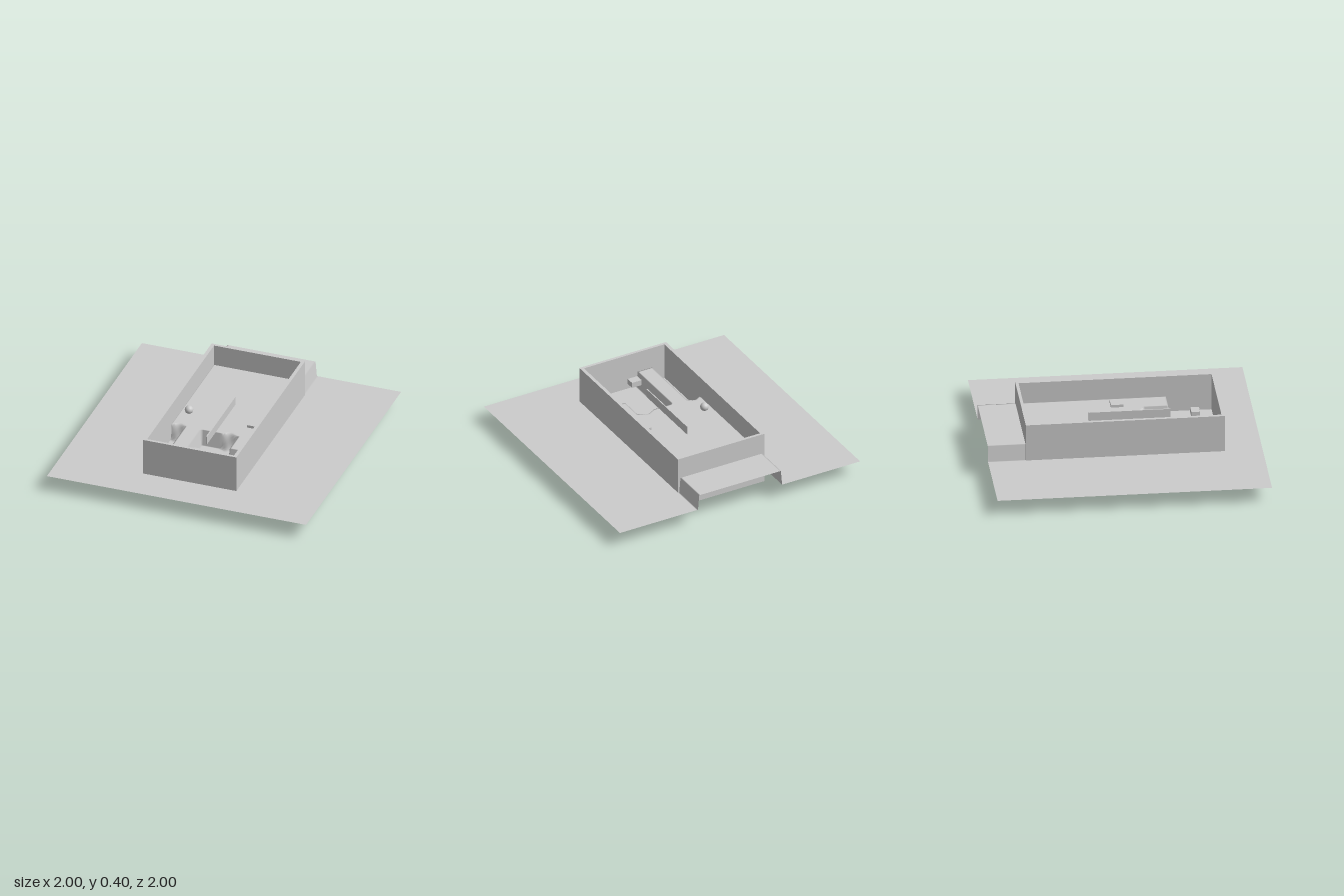
import * as THREE from 'three';

const grey = new THREE.MeshStandardMaterial({ color: 0xcccccc });
const greyDouble = new THREE.MeshStandardMaterial({ color: 0xcccccc, side: THREE.DoubleSide });

const LOW = 0.12, HIGH = 0.24;
const RAMPS = [-0.285, 0.105];

// Front edge (z) of the raised floor for a given x
function raisedEdge(x) {
  if (x < -0.235) return 0.195;
  if (x < -0.105) return 0.705;
  return x < 0.175 ? 0.195 : 0.375;
}

// Ground height: a raised plateau with sharp steps, softened at the two ramps
function groundHeight(x, z) {
  if (Math.abs(x) > 0.345) return LOW;
  const edge = raisedEdge(x);
  let soft = 0.001;
  if (edge === 0.195) {
    for (const c of RAMPS) soft = Math.max(soft, 0.042 * Math.exp(-(((x - c) / 0.04) ** 2)));
  }
  return THREE.MathUtils.lerp(HIGH, LOW, THREE.MathUtils.smoothstep(z, edge - soft, edge + soft));
}

function makeGround() {
  const geo = new THREE.PlaneGeometry(2, 2, 200, 200).rotateX(-Math.PI / 2);
  const pos = geo.attributes.position;
  for (let i = 0; i < pos.count; i++) pos.setY(i, groundHeight(pos.getX(i), pos.getZ(i)));
  geo.computeVertexNormals();
  return new THREE.Mesh(geo, greyDouble);
}

function rectangle(target, w, d) {
  target.moveTo(-w, -d);
  target.lineTo(w, -d);
  target.lineTo(w, d);
  target.lineTo(-w, d);
  target.closePath();
  return target;
}

// Rectangular wall ring, open at top and bottom
function makeWalls() {
  const shape = rectangle(new THREE.Shape(), 0.361, 0.725);
  shape.holes.push(rectangle(new THREE.Path(), 0.335, 0.703));
  const geo = new THREE.ExtrudeGeometry(shape, { depth: 0.403, bevelEnabled: false });
  return new THREE.Mesh(geo.rotateX(-Math.PI / 2), grey);
}

function makeBlock(w, h, d, x, bottom, z) {
  const mesh = new THREE.Mesh(new THREE.BoxGeometry(w, h, d), grey);
  mesh.position.set(x, bottom + h / 2, z);
  return mesh;
}

export function createModel() {
  const model = new THREE.Group();
  const add = (name, mesh) => {
    mesh.name = name;
    model.add(mesh);
  };

  add('ground', makeGround());
  add('outerWalls', makeWalls());
  add('dividerWall', makeBlock(0.008, 0.065, 0.595, 0, HIGH, 0.07));
  add('floorSlab', makeBlock(0.09, 0.02, 0.09, 0.24, HIGH, 0));
  add('frontBlock', makeBlock(0.08, 0.042, 0.064, 0, 0.247, 0.548));

  // Ball resting on the raised floor
  const ball = new THREE.Mesh(new THREE.SphereGeometry(0.031, 32, 16), grey);
  ball.position.set(-0.27, HIGH + 0.031, 0);
  add('ball', ball);

  return model;
}
